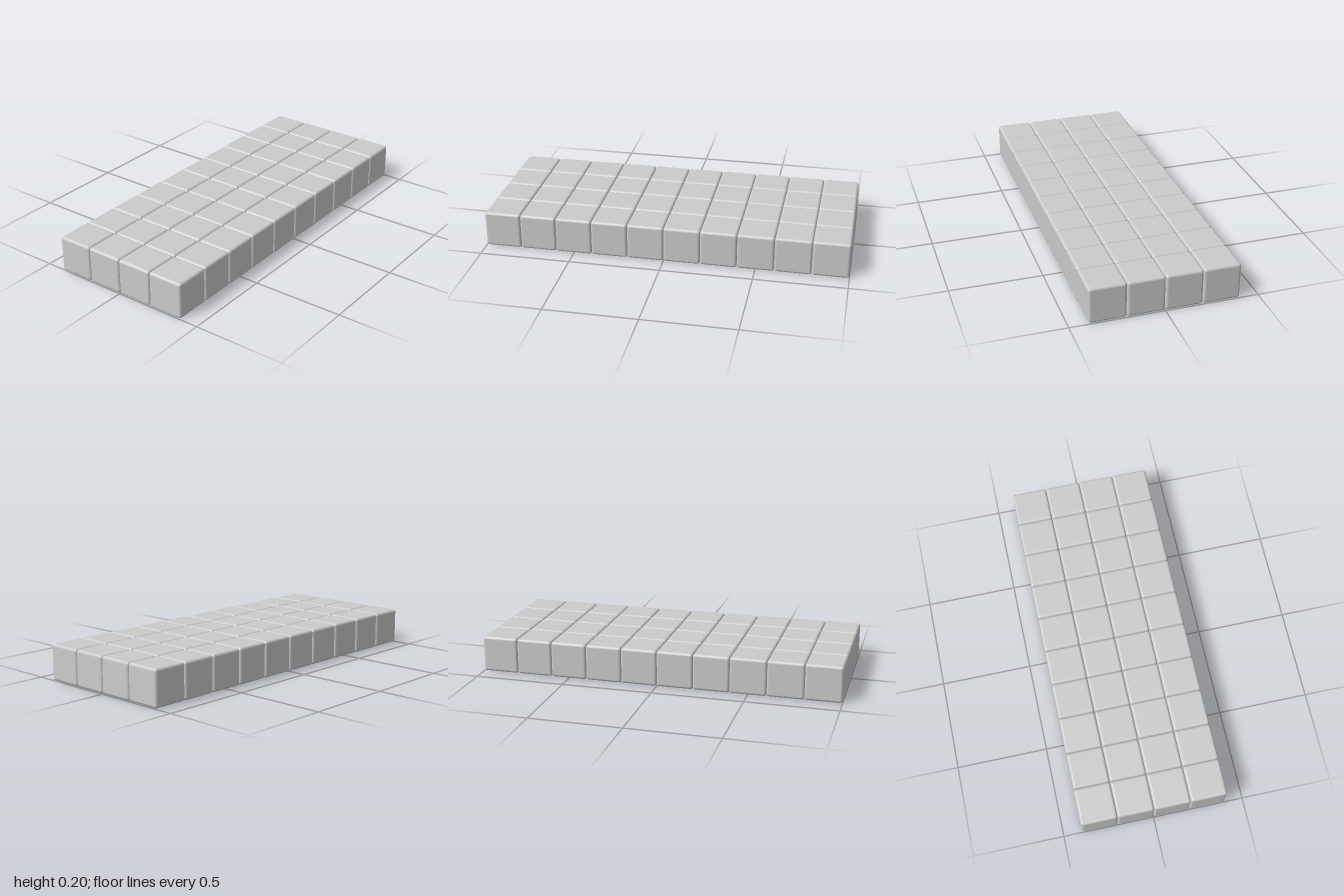
import * as THREE from 'three';
import { RoundedBoxGeometry } from 'three/addons/geometries/RoundedBoxGeometry.js';

const COLUMNS = 4;
const ROWS = 10;
const SIZE = 0.2;

export function createModel() {
  const model = new THREE.Group();
  model.name = 'blockSlab';
  const material = new THREE.MeshStandardMaterial({ color: 0xcccccc });

  // One softly rounded cube, shared by the whole grid
  const cube = new RoundedBoxGeometry(SIZE, SIZE, SIZE, 3, 0.015);

  // Rows of touching cubes, one layer high
  for (let r = 0; r < ROWS; r++) {
    const row = new THREE.Group();
    row.name = `blockRow${r + 1}`;
    row.position.z = (r - (ROWS - 1) / 2) * SIZE;
    for (let c = 0; c < COLUMNS; c++) {
      const block = new THREE.Mesh(cube, material);
      block.name = `block${c + 1}`;
      block.position.set((c - (COLUMNS - 1) / 2) * SIZE, SIZE / 2, 0);
      row.add(block);
    }
    model.add(row);
  }
  return model;
}
